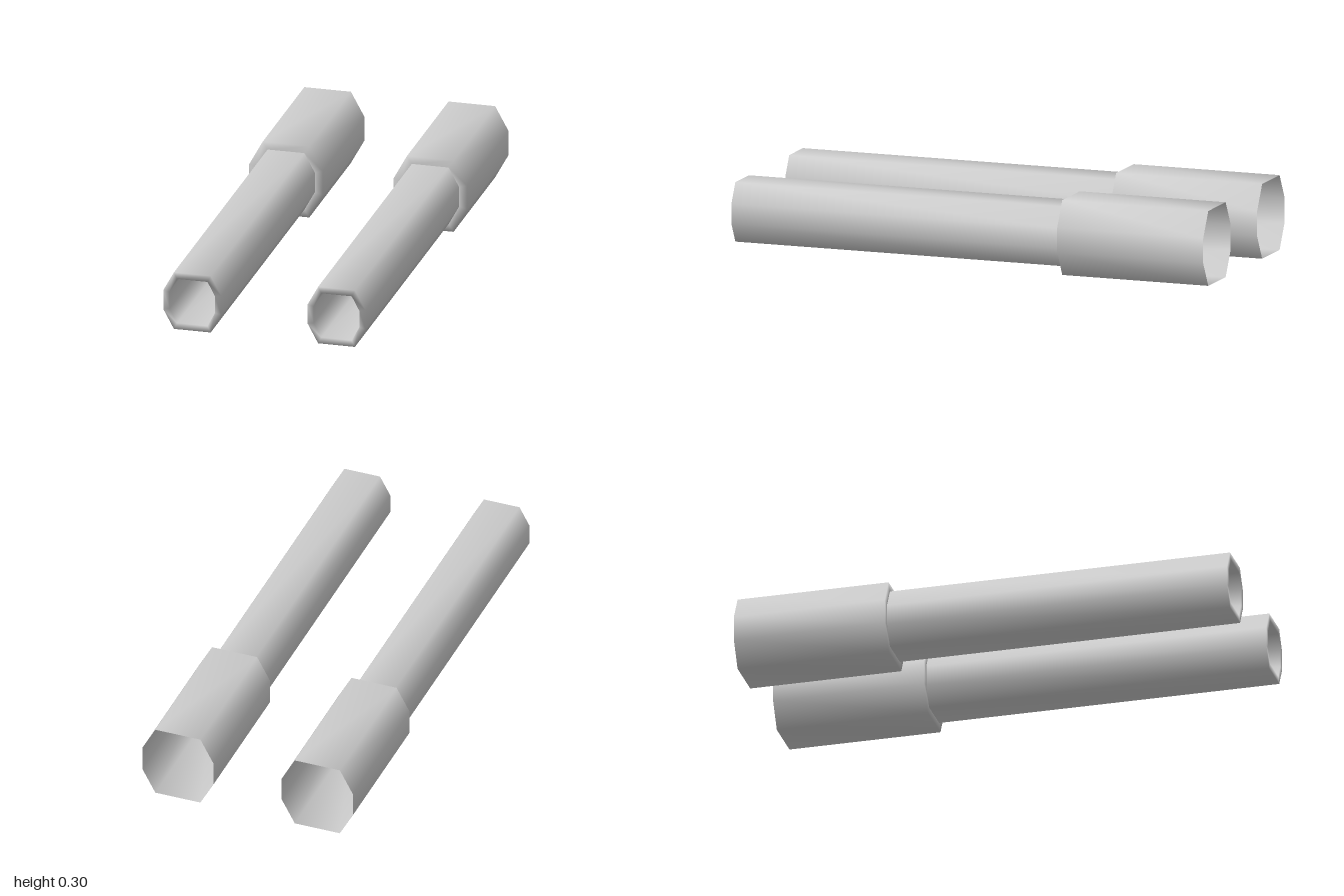
import * as THREE from 'three';

const CENTRE_Y = 0.15;

// Octagon with narrow sides and wide top and bottom, counter-clockwise from the front
function octagon(halfWidth, halfHeight, sideY, topX) {
  return [
    [halfWidth, -sideY], [halfWidth, sideY], [topX, halfHeight], [-topX, halfHeight],
    [-halfWidth, sideY], [-halfWidth, -sideY], [-topX, -halfHeight], [topX, -halfHeight],
  ];
}

const SLEEVE = octagon(0.15, 0.15, 0.05, 0.095);
const BARREL = octagon(0.118, 0.119, 0.04, 0.075);
const BORE = octagon(0.093, 0.093, 0.035, 0.062);

// Joins rings of { outline, z } in order and closes the last one with a flat face
function loft(rings) {
  const positions = [];
  const index = [];
  const n = rings[0].outline.length;
  for (const { outline, z } of rings) {
    for (const [x, y] of outline) positions.push(x, y, z);
  }
  for (let i = 0; i < rings.length - 1; i++) {
    for (let j = 0; j < n; j++) {
      const a = i * n + j;
      const b = i * n + ((j + 1) % n);
      index.push(a, b, b + n, a, b + n, a + n);
    }
  }
  const last = (rings.length - 1) * n;
  for (let j = 1; j < n - 1; j++) index.push(last, last + j, last + j + 1);

  const geometry = new THREE.BufferGeometry();
  geometry.setAttribute('position', new THREE.Float32BufferAttribute(positions, 3));
  geometry.setIndex(index);
  geometry.computeVertexNormals();
  return geometry;
}

export function createModel() {
  const model = new THREE.Group();
  model.name = 'twinTubes';
  const material = new THREE.MeshStandardMaterial({ color: 0xcccccc, side: THREE.DoubleSide });

  // Wide rear sleeve: open at the back, stepped face at the front
  const sleeveGeometry = loft([
    { outline: SLEEVE, z: -1 },
    { outline: SLEEVE, z: -0.385 },
    { outline: BARREL, z: -0.385 },
  ]);

  // Long barrel: outer wall, front rim, then the blind bore
  const barrelGeometry = loft([
    { outline: BARREL, z: -0.385 },
    { outline: BARREL, z: 1 },
    { outline: BORE, z: 1 },
    { outline: BORE, z: 0 },
  ]);

  for (const [side, x] of [['left', 0.294], ['right', -0.294]]) {
    const tube = new THREE.Group();
    tube.name = `${side}Tube`;
    tube.position.set(x, CENTRE_Y, 0);
    const sleeve = new THREE.Mesh(sleeveGeometry, material);
    sleeve.name = `${side}Sleeve`;
    const barrel = new THREE.Mesh(barrelGeometry, material);
    barrel.name = `${side}Barrel`;
    tube.add(sleeve, barrel);
    model.add(tube);
  }
  return model;
}
